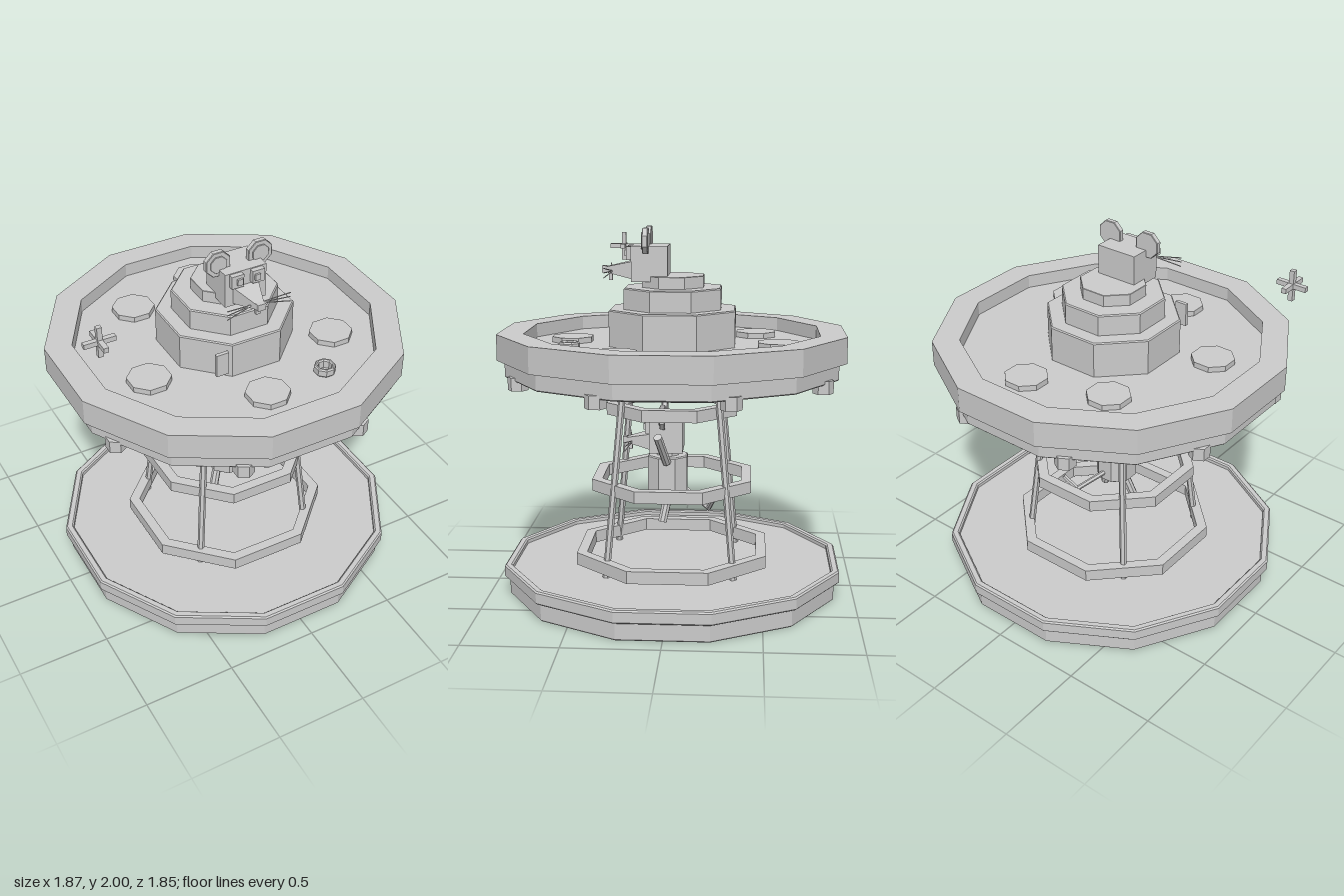
import * as THREE from 'three';

const grey = new THREE.MeshStandardMaterial({ color: 0xcacaca });
grey.name = 'plain grey';

// faceted mesh with one normal per face
function add(parent, name, geometry, x = 0, y = 0, z = 0) {
  const flat = geometry.index ? geometry.toNonIndexed() : geometry;
  flat.computeVertexNormals();
  const mesh = new THREE.Mesh(flat, grey);
  mesh.name = name;
  mesh.position.set(x, y, z);
  parent.add(mesh);
  return mesh;
}

// many-sided turned shape with flat sides facing the axes; radii are across flats
function turned(points, sides) {
  const k = 1 / Math.cos(Math.PI / sides);
  return new THREE.LatheGeometry(
    points.map(([r, y]) => new THREE.Vector2(r * k, y)), sides, Math.PI / sides);
}
const disc = (r, y0, y1, sides, b = 0.006) => turned(
  [[0, y0], [r - b, y0], [r, y0 + b], [r, y1 - b], [r - b, y1], [0, y1]], sides);
const ring = (ri, ro, y0, y1, sides) => turned(
  [[ri, y0], [ro, y0], [ro, y1], [ri, y1], [ri, y0]], sides);
const box = (w, h, d) => new THREE.BoxGeometry(w, h, d);

// straight rod between two points
function rod(parent, name, from, to, r, sides = 8) {
  const a = new THREE.Vector3(...from), b = new THREE.Vector3(...to);
  const dir = b.clone().sub(a);
  const mesh = add(parent, name, new THREE.CylinderGeometry(r, r, dir.length(), sides));
  mesh.position.copy(a).add(b).multiplyScalar(0.5);
  mesh.quaternion.setFromUnitVectors(new THREE.Vector3(0, 1, 0), dir.normalize());
  return mesh;
}

// mouse head centred on its skull block, snout towards +z
function mouseHead(name) {
  const head = new THREE.Group();
  head.name = name;
  add(head, 'skull', box(0.235, 0.19, 0.195));
  const snout = new THREE.CylinderGeometry(0.02 * Math.SQRT2, 0.075 * Math.SQRT2, 0.16, 4);
  snout.rotateY(Math.PI / 4).rotateX(Math.PI / 2).scale(1, 0.65, 1);
  add(head, 'snout', snout, 0, -0.037, 0.17);
  add(head, 'nose', box(0.046, 0.036, 0.025), 0, -0.035, 0.25);
  add(head, 'teeth', box(0.026, 0.045, 0.02), 0, -0.072, 0.217);
  for (const s of [-1, 1]) {
    const ear = disc(0.068, -0.015, 0.015, 8, 0.003).rotateX(Math.PI / 2);
    add(head, 'ear', ear, s * 0.12, 0.123, 0.018);
    const inner = disc(0.045, -0.004, 0.004, 8, 0.001).rotateX(Math.PI / 2);
    add(head, 'innerEar', inner, s * 0.12, 0.123, 0.035);
    add(head, 'eye', box(0.068, 0.07, 0.03), s * 0.059, 0.055, 0.11);
    add(head, 'pupil', box(0.03, 0.034, 0.012), s * 0.05, 0.055, 0.13);
    for (const [y0, y1] of [[-0.045, -0.018], [-0.045, -0.042], [-0.045, -0.068]]) {
      rod(head, 'whisker', [s * 0.015, y0, 0.205], [s * 0.18, y1, 0.235], 0.003, 5);
    }
  }
  return head;
}

export function createModel() {
  const model = new THREE.Group();
  model.name = 'mouseTower';

  // base platform with a shallow recessed floor
  add(model, 'baseDisc', disc(0.887, 0, 0.1, 12));
  add(model, 'baseRim', turned([[0, 0.098], [0.908, 0.098], [0.915, 0.105], [0.915, 0.16],
    [0.907, 0.168], [0.88, 0.168], [0.872, 0.16], [0.872, 0.14], [0, 0.14]], 12));

  // cage: three hoops and four leaning posts
  const hoops = [[0.518, 0.167, 0.235], [0.433, 0.58, 0.645], [0.353, 1.0, 1.065]];
  for (const [r, y0, y1] of hoops) add(model, 'cageHoop', ring(r - 0.055, r, y0, y1, 8));
  for (const sx of [-1, 1]) for (const sz of [-1, 1]) {
    rod(model, 'cagePost', [sx * 0.343, 0.14, sz * 0.343], [sx * 0.25, 1.2, sz * 0.25], 0.019, 6);
  }

  // upper tray with a raised floor inside its rim
  add(model, 'ceilingPlate', disc(0.545, 1.145, 1.22, 8, 0.002));
  add(model, 'trayDisc', disc(0.887, 1.213, 1.308, 12));
  add(model, 'trayRim', turned([[0, 1.305], [0.927, 1.305], [0.927, 1.445], [0.787, 1.445],
    [0.787, 1.37], [0, 1.37]], 12));
  for (let i = 0; i < 8; i++) {
    const a = Math.PI / 8 + i * Math.PI / 4;
    add(model, 'underLamp', new THREE.CylinderGeometry(0.055, 0.055, 0.07, 6),
      0.865 * Math.cos(a), 1.198, 0.865 * Math.sin(a));
  }

  // things lying on the tray
  const plates = [[-0.325, -0.45], [0.115, -0.57], [-0.53, 0.17], [0.5, 0.265], [-0.06, 0.56]];
  for (const [x, z] of plates) add(model, 'plate', disc(0.108, 1.37, 1.4, 8, 0), x, 0, z);
  add(model, 'cup', turned([[0.034, 1.37], [0.046, 1.37], [0.053, 1.378], [0.053, 1.41],
    [0.047, 1.418], [0.04, 1.418], [0.034, 1.41], [0.034, 1.37]], 8), 0.295, 0, 0.53);

  // stepped tower
  add(model, 'lowerTier', disc(0.338, 1.36, 1.567, 8));
  add(model, 'middleTier', disc(0.26, 1.56, 1.682, 8));
  add(model, 'topTier', disc(0.165, 1.675, 1.745, 8, 0.002));
  add(model, 'tag', box(0.07, 0.13, 0.02), -0.203, 1.475, 0.343);

  // mouse head on top
  const topHead = mouseHead('topMouseHead');
  topHead.position.set(0, 1.81, 0.122);
  model.add(topHead);

  // mouse hanging in the cage
  const mouse = new THREE.Group();
  mouse.name = 'cagedMouse';
  const head = mouseHead('cagedMouseHead');
  head.position.set(0, 0.865, 0.035);
  head.scale.setScalar(0.93);
  mouse.add(head);
  add(mouse, 'body', disc(0.108, 0.505, 0.75, 8), 0, 0, 0.03);
  add(mouse, 'neck', disc(0.06, 0.74, 0.8, 8, 0.002), 0, 0, 0.03);
  for (const s of [-1, 1]) {
    rod(mouse, 'arm', [s * 0.105, 0.725, 0.03], [s * 0.233, 0.895, 0.07], 0.024);
    rod(mouse, 'leg', [s * 0.055, 0.53, 0.025], [s * 0.1, 0.385, 0.055], 0.025);
  }
  rod(mouse, 'tailBase', [0, 0.56, -0.06], [0.1, 0.472, -0.2], 0.014, 6);
  rod(mouse, 'tailTip', [0.096, 0.466, -0.2], [0.175, 0.542, -0.23], 0.014, 6);
  model.add(mouse);

  // floating sparkle
  const sparkle = new THREE.Group();
  sparkle.name = 'sparkle';
  sparkle.position.set(-0.858, 1.846, 0.354);
  for (const size of [[0.165, 0.026, 0.026], [0.026, 0.165, 0.026], [0.026, 0.026, 0.165]]) {
    add(sparkle, 'sparkleBar', box(...size));
  }
  model.add(sparkle);

  model.position.x = 0.005;
  return model;
}
